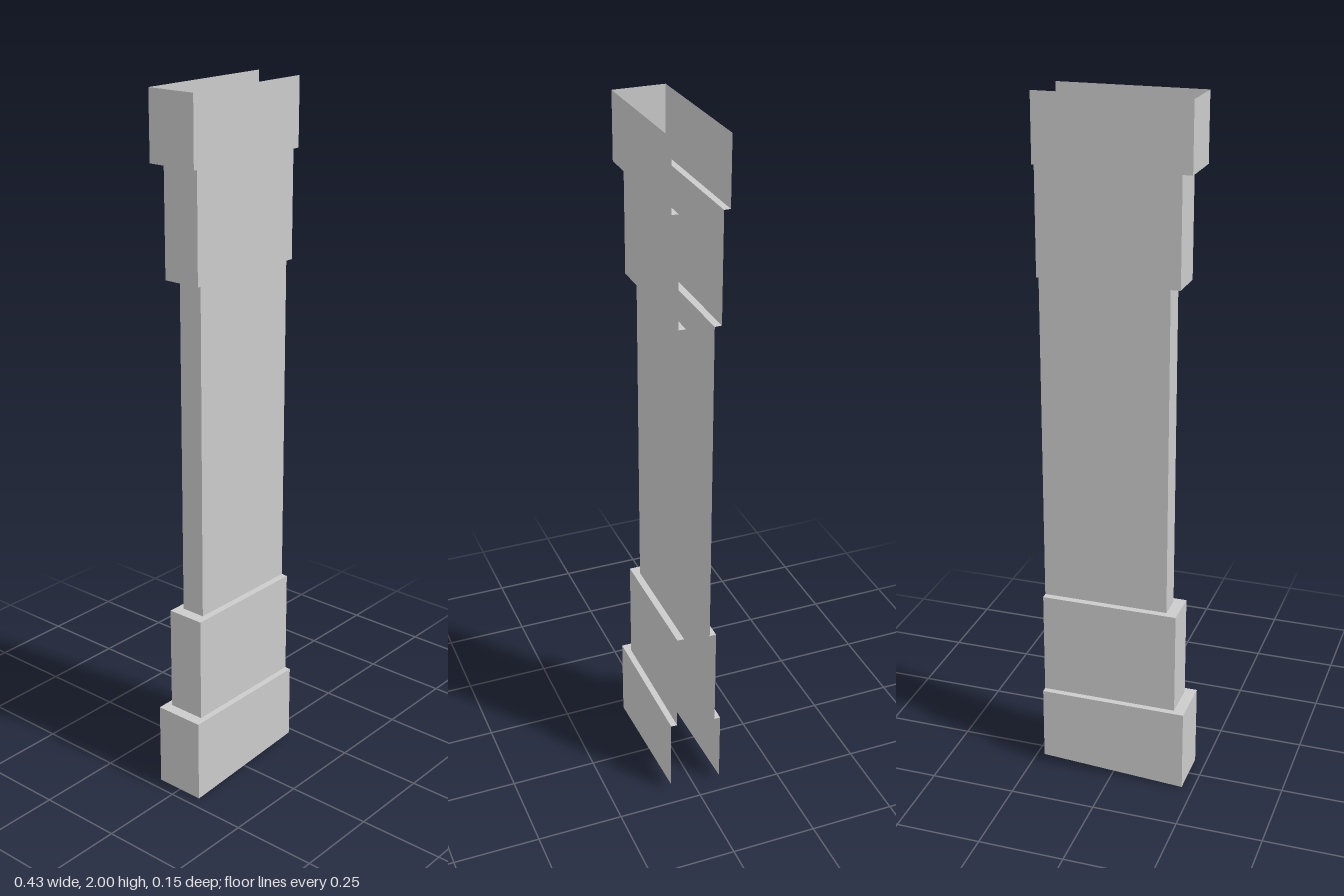
import * as THREE from 'three';

// U-shaped outlines, open toward +x: wall x, back z, back end x, front z, front end x
const WIDE = [-0.216, -0.075, 0.2145, 0.073, 0.2];
const MID = [-0.184, -0.057, 0.215, 0.055, 0.2015];
const SLIM = [-0.151, -0.037, 0.216, 0.035, 0.203];

// Corner points of an outline at height y, optionally rising toward +x
function ring([wallX, backZ, backX, frontZ, frontX], y, slope = 0) {
  return [[backX, backZ], [wallX, backZ], [wallX, frontZ], [frontX, frontZ]]
    .map(([x, z]) => new THREE.Vector3(x, y + slope * (x - wallX), z));
}

// Three flat panels joining two rings
function band(name, lower, upper, material) {
  const points = [];
  for (let i = 0; i < 3; i++) {
    const [a, b, c, d] = [lower[i], lower[i + 1], upper[i + 1], upper[i]];
    points.push(a, b, c, a, c, d);
  }
  const geometry = new THREE.BufferGeometry().setFromPoints(points);
  geometry.computeVertexNormals();
  const mesh = new THREE.Mesh(geometry, material);
  mesh.name = name;
  return mesh;
}

export function createModel() {
  const group = new THREE.Group();
  group.name = 'steppedColumn';
  const material = new THREE.MeshStandardMaterial({
    color: 0xcccccc, flatShading: true, side: THREE.DoubleSide,
  });

  // Tiers from the slanted foot to the open top
  const tiers = [
    ['base', WIDE, 0, 0.245, 0.057],
    ['lowerCollar', MID, 0.245, 0.55, 0],
    ['shaft', SLIM, 0.55, 1.507, 0],
    ['upperCollar', MID, 1.507, 1.812, 0],
    ['capital', WIDE, 1.812, 2, 0],
  ];

  tiers.forEach(([name, outline, bottom, top, slope], i) => {
    group.add(band(name, ring(outline, bottom, slope), ring(outline, top), material));
    // Ledge stepping to the next tier
    const next = tiers[i + 1];
    if (next) group.add(band(name + 'Ledge', ring(outline, top), ring(next[1], top), material));
  });
  return group;
}
